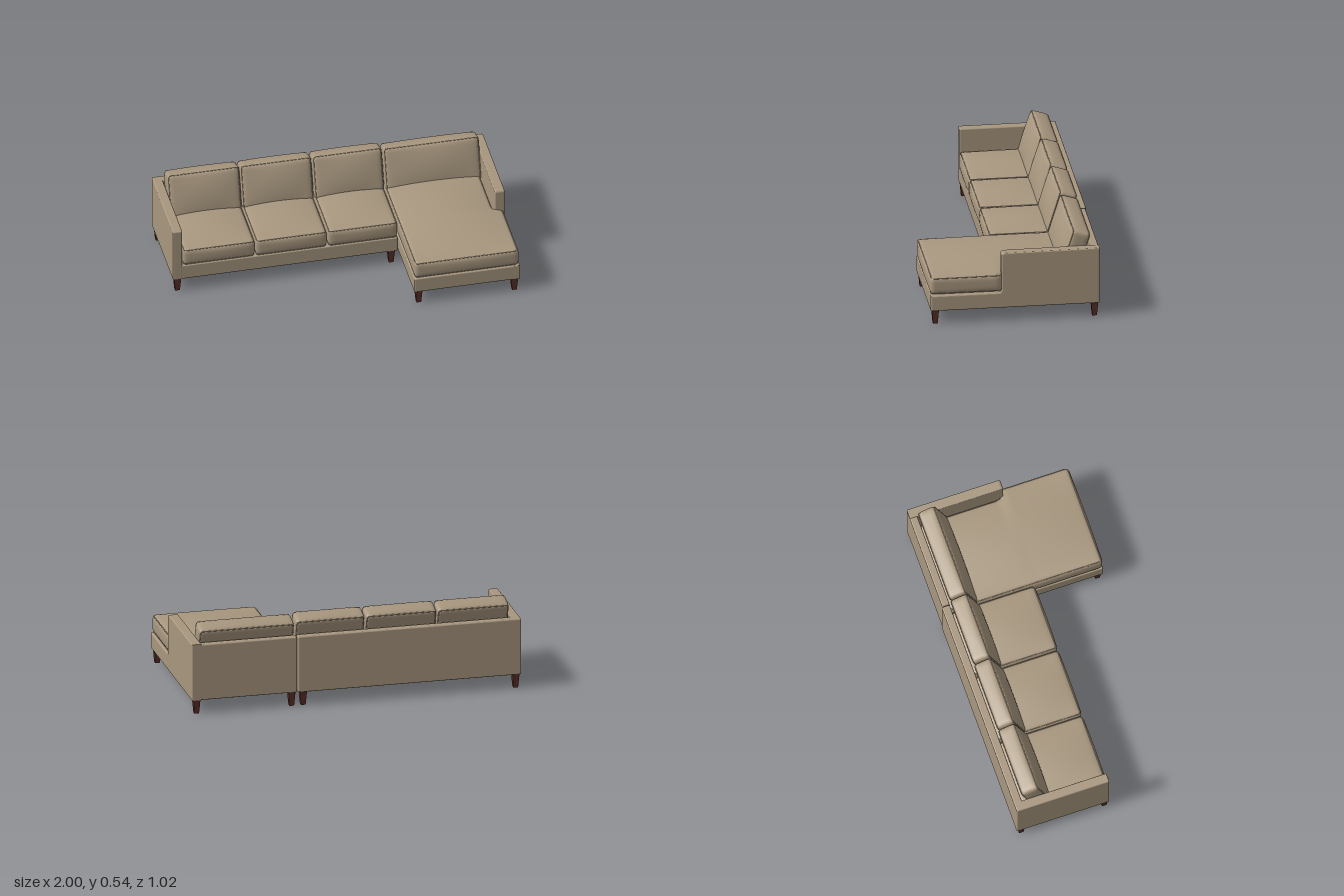
import * as THREE from 'three';
import { mergeVertices } from 'three/addons/utils/BufferGeometryUtils.js';
import { RoundedBoxGeometry } from 'three/addons/geometries/RoundedBoxGeometry.js';

const fabric = new THREE.MeshStandardMaterial({ color: 0xa8977f });
fabric.name = 'taupe fabric';
const wood = new THREE.MeshStandardMaterial({ color: 0x5c3129 });
wood.name = 'dark red wood';

function addMesh(parent, name, geometry, material) {
  const mesh = new THREE.Mesh(geometry, material);
  mesh.name = name;
  parent.add(mesh);
  return mesh;
}

// Upholstered panel given by its lower and upper corners
function panel(parent, name, [x0, y0, z0], [x1, y1, z1]) {
  const geo = new RoundedBoxGeometry(x1 - x0, y1 - y0, z1 - z0, 3, 0.008);
  geo.translate((x0 + x1) / 2, (y0 + y1) / 2, (z0 + z1) / 2);
  return addMesh(parent, name, geo, fabric);
}

// Rounded, crowned cushion lying flat, with piping round both edges.
// reshape(point) may alter the plan outline.
function cushion(name, w, t, d, crown, reshape = () => {}, segments = 20) {
  const group = new THREE.Group();
  group.name = name;
  const r = 0.024;
  const half = new THREE.Vector3(w / 2, t / 2, d / 2);
  const core = half.clone().subScalar(r);
  let geo = new THREE.BoxGeometry(2, 2, 2, segments, 10, segments);
  geo.deleteAttribute('uv');
  geo.deleteAttribute('normal');
  geo = mergeVertices(geo);
  const pos = geo.attributes.position;
  const p = new THREE.Vector3();
  for (let i = 0; i < pos.count; i++) {
    // crowd the grid lines towards the edges
    p.fromBufferAttribute(pos, i);
    const u = Math.sin(p.x * Math.PI / 2);
    const v = Math.sin(p.y * Math.PI / 2);
    const s = Math.sin(p.z * Math.PI / 2);
    p.set(u, v, s).multiply(half);
    // round the edges
    const inner = p.clone().clamp(core.clone().negate(), core);
    const out = p.clone().sub(inner);
    if (out.lengthSq() > 0) p.copy(inner).add(out.setLength(r));
    // swell the faces
    p.y += Math.max(0, v) * crown * (1 - u * u) * (1 - s * s);
    p.x += u * 0.003 * (1 - v * v) * (1 - s * s);
    p.z += s * 0.007 * (1 - v * v) * (1 - u * u);
    reshape(p);
    pos.setXYZ(i, p.x, p.y, p.z);
  }
  geo.computeVertexNormals();
  addMesh(group, 'cushionBody', geo, fabric);

  // piping
  const a = w / 2 - r * 0.29, b = d / 2 - r * 0.29, c = 0.016;
  const outline = new THREE.Shape();
  outline.moveTo(-a + c, -b);
  outline.lineTo(a - c, -b).quadraticCurveTo(a, -b, a, -b + c);
  outline.lineTo(a, b - c).quadraticCurveTo(a, b, a - c, b);
  outline.lineTo(-a + c, b).quadraticCurveTo(-a, b, -a, b - c);
  outline.lineTo(-a, -b + c).quadraticCurveTo(-a, -b, -a + c, -b);
  const loop = outline.getSpacedPoints(130).slice(0, -1);
  for (const side of [1, -1]) {
    const points = loop.map((q) => {
      const v = new THREE.Vector3(q.x, side * (t / 2 - r * 0.29), q.y);
      reshape(v);
      return v;
    });
    const curve = new THREE.CatmullRomCurve3(points, true);
    addMesh(group, 'piping', new THREE.TubeGeometry(curve, 200, 0.0035, 5, true), fabric);
  }
  return group;
}

// Chaise side: high arm at the back stepping down to the base rail
function chaiseSide(x, width) {
  const b = 0.007;
  const s = new THREE.Shape();
  s.moveTo(-0.505, 0.085);
  s.lineTo(0.497, 0.085);
  s.lineTo(0.497, 0.18);
  s.lineTo(0.095, 0.18);
  s.quadraticCurveTo(0.077, 0.18, 0.077, 0.198);
  s.lineTo(0.077, 0.418);
  s.quadraticCurveTo(0.075, 0.43, 0.06, 0.431);
  s.lineTo(-0.505, 0.434);
  s.closePath();
  const geo = new THREE.ExtrudeGeometry(s, {
    depth: width - 2 * b, bevelEnabled: true, bevelThickness: b,
    bevelSize: b, bevelOffset: -b, bevelSegments: 3, curveSegments: 6,
  });
  geo.rotateY(-Math.PI / 2);
  geo.translate(x - b, 0, 0);
  return geo;
}

export function createModel() {
  const model = new THREE.Group();
  model.name = 'sectionalSofa';

  // Three-seat section frame
  const sofa = new THREE.Group();
  sofa.name = 'sofaSection';
  panel(sofa, 'sofaBase', [-0.998, 0.085, -0.508], [0.356, 0.182, 0.066]);
  panel(sofa, 'sofaBack', [-0.998, 0.085, -0.51], [0.356, 0.432, -0.46]);
  panel(sofa, 'rightArm', [-1, 0.085, -0.51], [-0.943, 0.432, 0.067]);
  model.add(sofa);

  // Chaise section frame
  const chaise = new THREE.Group();
  chaise.name = 'chaiseSection';
  panel(chaise, 'chaiseBase', [0.36, 0.085, -0.503], [0.998, 0.182, 0.499]);
  panel(chaise, 'chaiseBack', [0.36, 0.085, -0.505], [0.998, 0.43, -0.458]);
  addMesh(chaise, 'leftArm', chaiseSide(1, 0.06), fabric);
  model.add(chaise);

  // Seat and back cushions of the sofa
  const spans = [[-0.94, -0.504], [-0.5, -0.07], [-0.064, 0.356]];
  const backThick = 0.115, backHeight = 0.275, tilt = 0.3;
  const addBack = (x0, x1, y) => {
    const back = cushion('backCushion', x1 - x0, backThick, backHeight, 0.018);
    back.position.set((x0 + x1) / 2, y, -0.368);
    back.rotation.x = Math.PI / 2 - tilt;
    model.add(back);
  };
  for (const [x0, x1] of spans) {
    const seat = cushion('seatCushion', x1 - x0, 0.11, 0.525, 0.02);
    seat.position.set((x0 + x1) / 2, 0.238, -0.193);
    model.add(seat);
    addBack(x0, x1, 0.393);
  }
  addBack(0.364, 0.942, 0.383);

  // Chaise cushion, narrowed beside the arm
  const notch = (p) => {
    const k = 1 - THREE.MathUtils.smoothstep(p.z, 0.025, 0.06);
    p.x -= 0.058 * k * THREE.MathUtils.clamp((p.x + 0.315) / 0.63, 0, 1);
  };
  const chaiseSeat = cushion('chaiseCushion', 0.63, 0.108, 0.953, 0.03, notch, 48);
  chaiseSeat.position.set(0.677, 0.238, 0.022);
  model.add(chaiseSeat);

  // Tapered square legs
  const legGeo = new THREE.CylinderGeometry(0.021 * Math.SQRT2, 0.014 * Math.SQRT2, 0.088, 4, 1);
  legGeo.rotateY(Math.PI / 4);
  const legShape = legGeo.toNonIndexed();
  legShape.computeVertexNormals();
  const spots = [
    [-0.97, 0.04], [0.32, 0.04], [-0.97, -0.477], [0.32, -0.477],
    [0.39, 0.469], [0.967, 0.469], [0.39, -0.477], [0.967, -0.477],
  ];
  for (const [x, z] of spots) {
    addMesh(model, 'leg', legShape, wood).position.set(x, 0.044, z);
  }

  return model;
}
